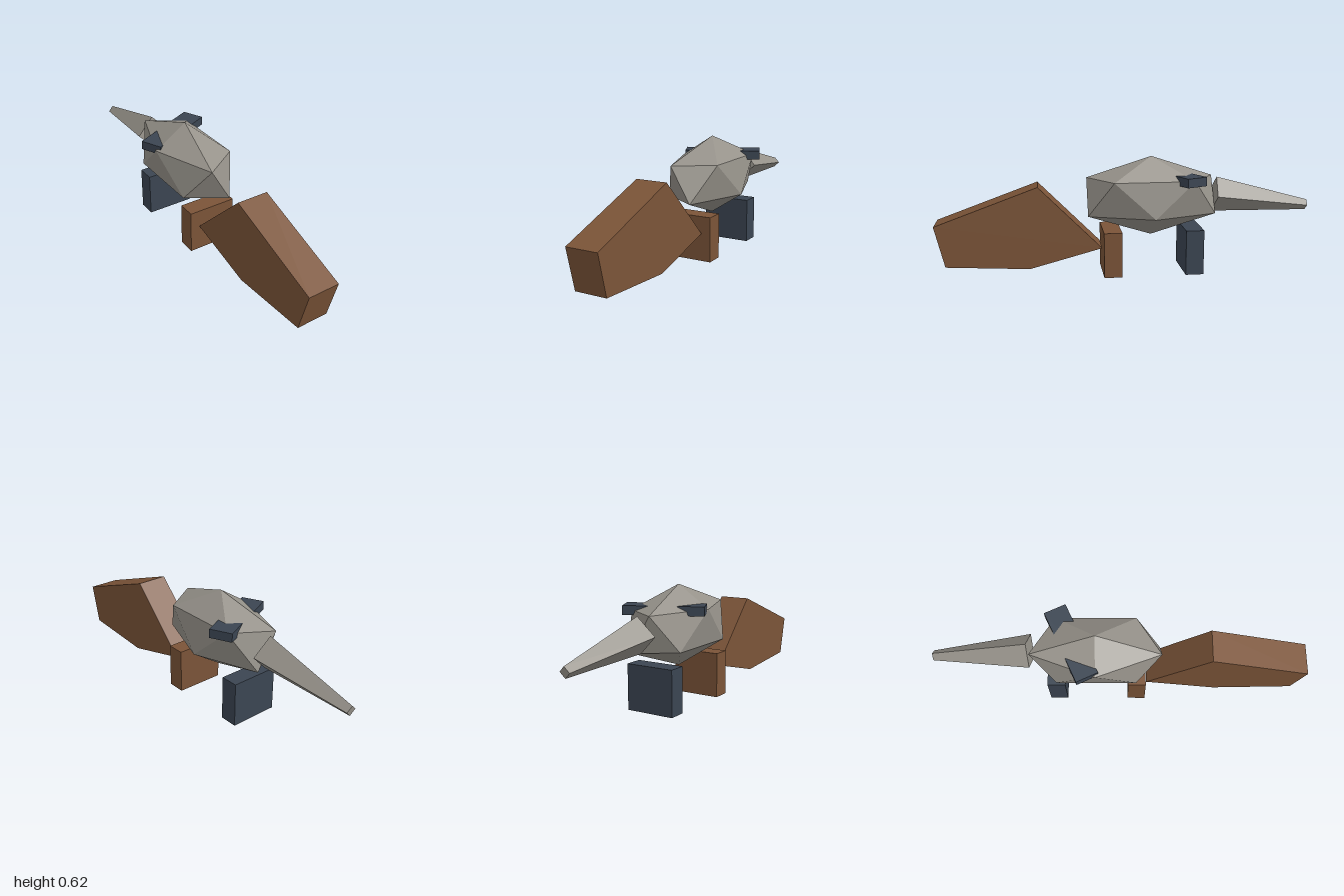
import * as THREE from 'three';
import { ConvexGeometry } from 'three/addons/geometries/ConvexGeometry.js';

export function createModel() {
  const group = new THREE.Group();
  const material = (name, color) => {
    const m = new THREE.MeshStandardMaterial({ color });
    m.name = name;
    m.flatShading = true;
    return m;
  };
  const grey = material('warm grey', 0x96928a);
  const brown = material('brown', 0x7b5438);
  const slate = material('slate', 0x3b4552);

  const add = (name, geometry, mat, x, y, z) => {
    const mesh = new THREE.Mesh(geometry, mat);
    mesh.name = name;
    mesh.position.set(x, y, z);
    group.add(mesh);
    return mesh;
  };

  // Body: stretched icosahedron, two poles and two staggered rings of five
  const points = [new THREE.Vector3(0, 0.212, 0), new THREE.Vector3(0, -0.212, 0)];
  for (const side of [1, -1]) {
    for (let i = 0; i < 5; i++) {
      const a = (i * Math.PI * 2) / 5;
      points.push(new THREE.Vector3(
        -side * 0.179 * Math.cos(a), side * 0.095, 0.358 * Math.sin(a)));
    }
  }
  add('body', new ConvexGeometry(points), grey, 0, 0.41, -0.13);

  // Tail: four-sided taper, tilted slightly down towards the back
  const tail = add('tail', new THREE.CylinderGeometry(0.028, 0.094, 0.525, 4), grey, 0, 0.374, -0.735);
  tail.rotation.x = -(Math.PI / 2 + 0.138);

  // Head: five-sided side profile with constant width
  const profile = new THREE.Shape([
    [0.14, 0.15], [0.52, 0.05], [0.95, 0.075], [1, 0.29], [0.47, 0.483],
  ].map(([z, y]) => new THREE.Vector2(z, y)));
  const head = new THREE.ExtrudeGeometry(profile, { depth: 0.17, bevelEnabled: false });
  head.translate(0, 0, -0.085).rotateY(-Math.PI / 2);
  add('head', head, brown, 0, 0, 0);

  // Legs: one broad slab at the front and one at the back
  const leg = new THREE.BoxGeometry(0.265, 0.24, 0.096);
  add('frontLeg', leg, brown, 0, 0.12, 0.086);
  add('backLeg', leg, slate, 0, 0.12, -0.348);

  // Crossbar: turned bar passing through the body
  const bar = add('crossbar', new THREE.BoxGeometry(0.41, 0.047, 0.12), slate, 0, 0.507, -0.255);
  bar.rotation.y = 0.436;

  return group;
}
